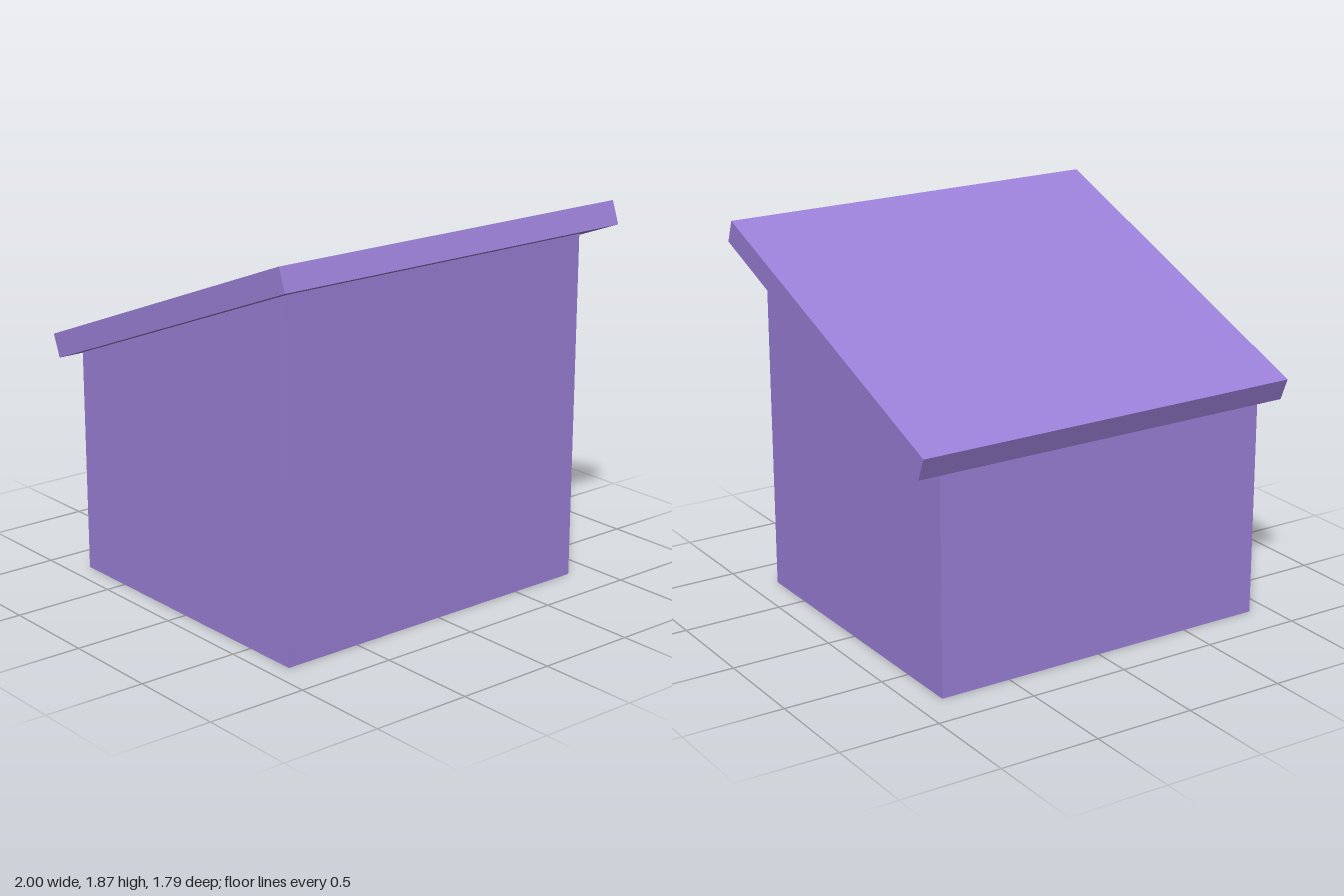
import * as THREE from 'three';

const material = new THREE.MeshStandardMaterial({ color: 0x9b80d8, flatShading: true });

// Height of the sloping roof underside at depth z
const roofLine = (z) => 1.418 + 0.385 * z;

// Extrudes a side outline of [z, y] points across x0..x1
function slab(name, outline, x0, x1) {
  const shape = new THREE.Shape(outline.map(([z, y]) => new THREE.Vector2(z, y)));
  const geometry = new THREE.ExtrudeGeometry(shape, { depth: x1 - x0, bevelEnabled: false });
  geometry.rotateY(-Math.PI / 2);
  geometry.translate(x1, 0, 0);
  const mesh = new THREE.Mesh(geometry, material);
  mesh.name = name;
  return mesh;
}

// Upright wall from zBack to zFront with its top cut to the roof slope
function wall(name, x0, x1, zBack, zFront, y0 = 0.04) {
  return slab(name, [
    [zBack, y0], [zFront, y0], [zFront, roofLine(zFront)], [zBack, roofLine(zBack)],
  ], x0, x1);
}

export function createModel() {
  const group = new THREE.Group();
  group.name = 'shed';
  const back = -0.8, front = 0.78, right = -0.9, left = 0.86, t = 0.1;

  // Floor
  group.add(slab('floor', [[back, 0], [front - t, 0], [front - t, 0.04], [back, 0.04]], right, left - t));

  // Walls: the front panel butts against the exposed end of the left wall
  group.add(wall('leftWall', left - t, left, back, front, 0));
  group.add(wall('rightWall', right, right + t, back, front - t));
  group.add(wall('backWall', right + t, left - t, back, back + t));
  group.add(wall('frontWall', right, left - t - 0.004, front - t, front, 0));

  // Tilted overhanging roof
  group.add(slab('roof', [[-0.85, 1.09], [0.895, 1.762], [0.855, 1.872], [-0.895, 1.2]], -1, 1));
  return group;
}
